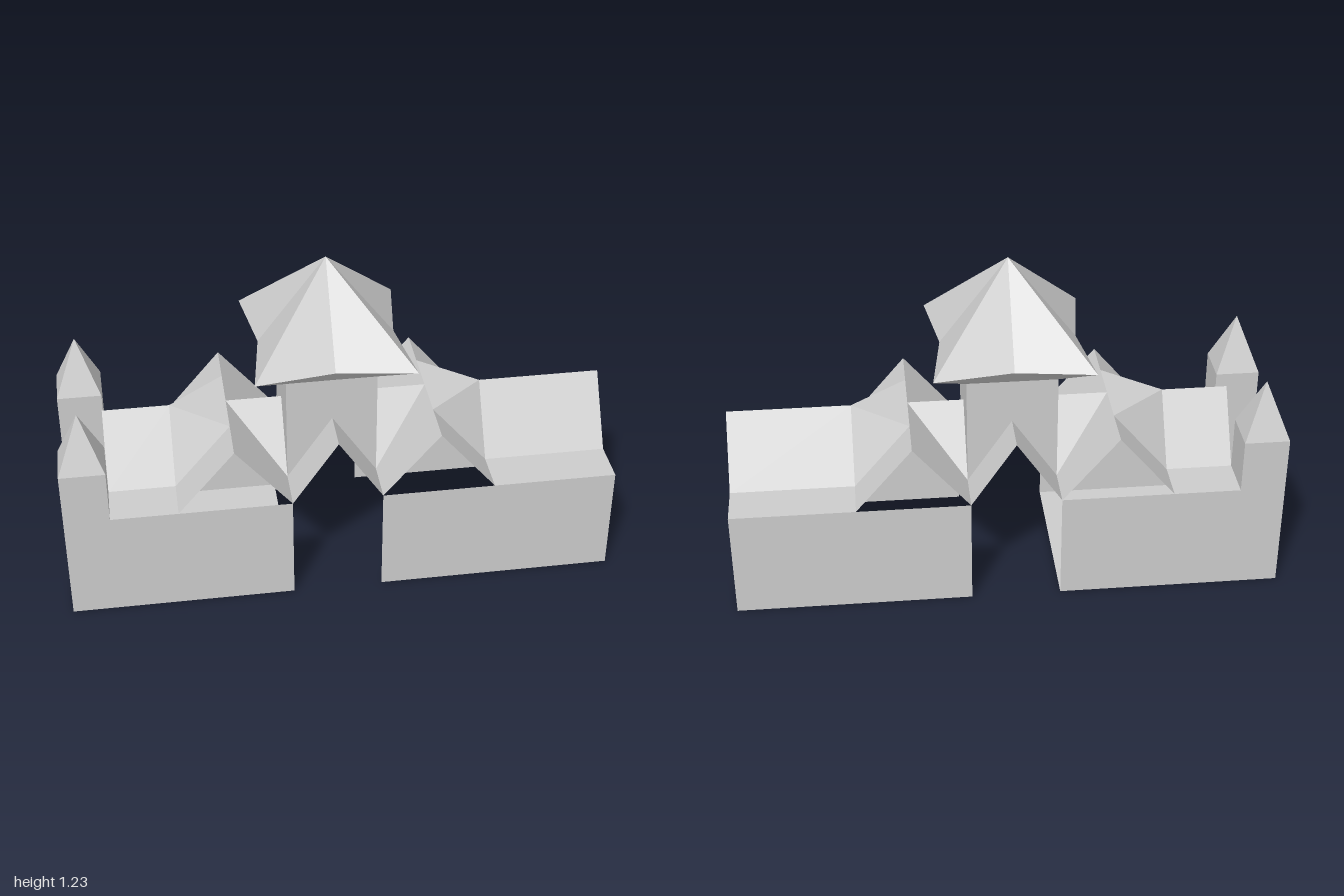
import * as THREE from 'three';

export function createModel() {
  const model = new THREE.Group();
  const stone = new THREE.MeshStandardMaterial({ color: 0xcccccc, side: THREE.DoubleSide });
  stone.name = 'pale grey stone';
  stone.flatShading = true;

  const W = 0.325;              // half depth of the building
  const R = 0.163;              // half depth of the roof and tower
  const E = 0.41, T = 0.655;    // eaves and ridge heights
  const CX = -0.022;            // tower centre
  const L = -0.187, G = 0.14;   // sides of the gateway

  // Flat convex polygons, each turned to face the given direction
  function panels(name, polygons, facing = [0, 1, 0], parent = model) {
    const pos = [];
    const dir = new THREE.Vector3(...facing);
    for (const poly of polygons) {
      const p = poly.map((q) => new THREE.Vector3(...q));
      for (let i = 1; i < p.length - 1; i++) {
        const n = p[i].clone().sub(p[0]).cross(p[i + 1].clone().sub(p[0]));
        const tri = n.dot(dir) >= 0 ? [p[0], p[i], p[i + 1]] : [p[0], p[i + 1], p[i]];
        tri.forEach((v) => pos.push(v.x, v.y, v.z));
      }
    }
    const g = new THREE.BufferGeometry();
    g.setAttribute('position', new THREE.Float32BufferAttribute(pos, 3));
    g.computeVertexNormals();
    const mesh = new THREE.Mesh(g, stone);
    mesh.name = name;
    parent.add(mesh);
  }

  // Side gables: ridge position, inner edge, outer edge, end of the main roof
  const wings = [
    { name: 'left', ridge: 0.345, inner: G, outer: 0.55, end: 1 },
    { name: 'right', ridge: -0.39, inner: L, outer: -0.595, end: -0.837 },
  ];

  for (const s of [1, -1]) {
    const side = s > 0 ? 'Front' : 'Back';
    const w = s * W, r = s * R;

    for (const { name, ridge, inner, outer, end } of wings) {
      // Long wall and the ledge above it
      const far = name === 'left' ? 1 : -1;
      panels(name + side + 'Wall', [
        [[inner, 0, w], [far, 0, w], [far, E, w], [inner, E, w]],
      ], [0, 0, s]);
      panels(name + side + 'Ledge', [
        [[outer, E, r], [end, E, r], [end, E, w], [outer, E, w]],
      ]);
      // Main roof slope, with a short piece between gable and tower
      panels(name + side + 'Roof', [
        [[outer, T, 0], [end, T, 0], [end, E, r], [outer, E, r]],
        [[inner, T, 0], [ridge, T, 0], [inner, E, r]],
      ]);
      // Open cross gable and its corner facets
      panels(name + side + 'Gable', [
        [[inner, E, w], [inner, E, r], [ridge, T, 0], [ridge, T, w]],
        [[outer, E, w], [outer, E, r], [ridge, T, r], [ridge, T, w]],
        [[ridge, T, r], [outer, T, 0], [outer, E, r]],
        [[ridge, T, 0], [ridge, T, r], [outer, T, 0]],
      ]);
    }

    // Gable over the gateway
    panels('gate' + side + 'Gable', [L, G].map((x) => [
      [x, E, w], [x, E, r], [CX, T, r], [CX, T, w],
    ]));

    // Tower wall with a pointed arch
    panels('tower' + side + 'Wall', [
      [[L, E, r], [CX, T, r], [CX, 0.818, r], [L, 0.818, r]],
      [[G, E, r], [CX, T, r], [CX, 0.818, r], [G, 0.818, r]],
    ], [0, 0, s]);

    // Corner turret
    const turret = new THREE.Group();
    turret.name = side.toLowerCase() + 'Turret';
    const size = 0.163;
    const shaft = new THREE.Mesh(new THREE.BoxGeometry(size, 0.61, size), stone);
    shaft.name = 'turretShaft';
    shaft.position.y = 0.305;
    const spire = new THREE.Mesh(
      new THREE.ConeGeometry(size / Math.SQRT2, 0.205, 4, 1, true).rotateY(Math.PI / 4), stone);
    spire.name = 'turretSpire';
    spire.position.y = 0.7125;
    turret.add(shaft, spire);
    turret.position.set(-1 + size / 2, 0, s * (W - size / 2));
    model.add(turret);
  }

  // Tower side walls above the main roof
  for (const [x, d] of [[L, -1], [G, 1]]) {
    panels('towerSideWall', [1, -1].map((s) => [
      [x, E, s * R], [x, T, 0], [x, 0.818, 0], [x, 0.818, s * R],
    ]), [d, 0, 0]);
  }

  // End walls with gables
  panels('leftEndWall', [
    [[1, 0, W], [1, 0, -W], [1, E, -W], [1, E, W]],
    [[1, E, R], [1, E, -R], [1, T, 0]],
  ], [1, 0, 0]);
  panels('rightEndWall', [
    [[-0.837, 0, R], [-0.837, 0, -R], [-0.837, E, -R], [-0.837, T, 0], [-0.837, E, R]],
  ], [-1, 0, 0]);

  // Floor under the right wing
  panels('rightFloor', [
    [[-0.837, 0, W], [L, 0, W], [L, 0, -W], [-0.837, 0, -W]],
  ], [0, -1, 0]);

  // Star-cornered tower roof: rings of eight points
  const ring = (corner, middle, y) => Array.from({ length: 8 }, (_, i) => {
    const a = (i * Math.PI) / 4;
    const d = i % 2 ? corner * Math.SQRT2 : middle;
    return [CX + d * Math.cos(a), y, d * Math.sin(a)];
  });
  const eave = ring(0.285, 0.245, 0.9);
  const neck = ring(R, R, 0.818);
  const roof = new THREE.Group();
  roof.name = 'towerRoof';
  model.add(roof);
  eave.forEach((p, i) => {
    const j = (i + 1) % 8;
    panels('roofFacet', [[p, eave[j], [CX, 1.225, 0]]], [0, 1, 0], roof);
    panels('eaveUnderside', [[neck[i], neck[j], eave[j], p]], [0, -1, 0], roof);
  });

  return model;
}
